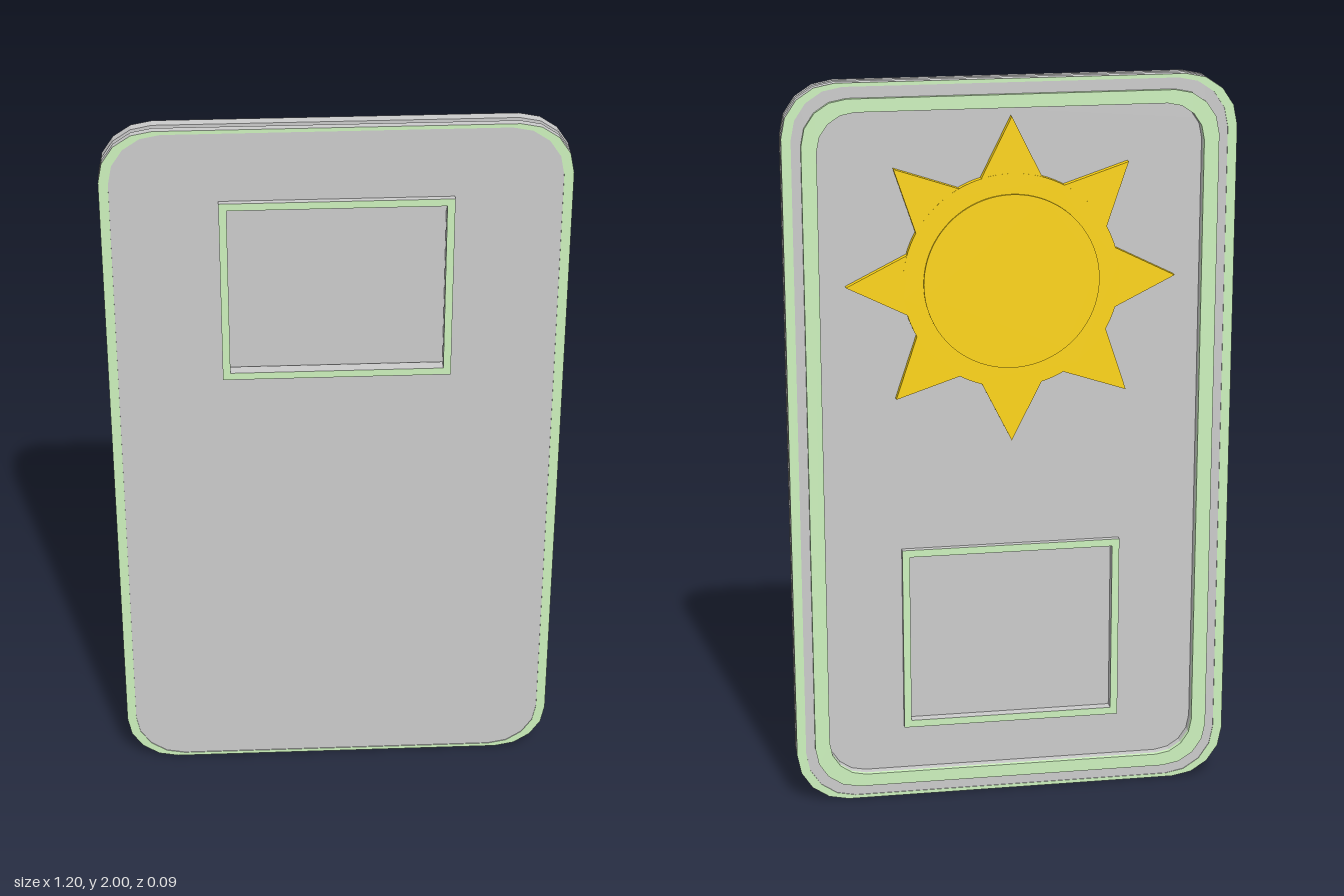
import * as THREE from 'three';

const grey = new THREE.MeshStandardMaterial({ color: 0xcccccc });
const green = new THREE.MeshStandardMaterial({ color: 0xcdf2bd });
const gold = new THREE.MeshStandardMaterial({ color: 0xffd614 });
for (const m of [grey, green, gold]) m.flatShading = true;

// Outline of a rectangle with faceted round corners (hw, hh: half sizes)
function roundedPoints(hw, hh, r, cy = 1) {
  const pts = [], n = 4;
  [[1, 1], [-1, 1], [-1, -1], [1, -1]].forEach(([sx, sy], q) => {
    for (let i = 0; i <= n; i++) {
      const a = (q + i / n) * Math.PI / 2;
      pts.push(new THREE.Vector2(sx * (hw - r) + r * Math.cos(a), cy + sy * (hh - r) + r * Math.sin(a)));
    }
  });
  return pts;
}

function rectPoints(hw, hh, cy) {
  return [[1, 1], [-1, 1], [-1, -1], [1, -1]].map(([x, y]) => new THREE.Vector2(x * hw, cy + y * hh));
}

// Flat slab from z0 to z1 with optional holes
function slab(name, points, holes, z0, z1, material) {
  const shape = new THREE.Shape(points);
  shape.holes = holes.map((h) => new THREE.Path(h));
  const geometry = new THREE.ExtrudeGeometry(shape, { depth: z1 - z0, bevelEnabled: false });
  const mesh = new THREE.Mesh(geometry, material);
  mesh.name = name;
  mesh.position.z = z0;
  return mesh;
}

export function createModel() {
  const group = new THREE.Group();
  const outer = roundedPoints(0.6, 1, 0.14);
  const border = roundedPoints(0.575, 0.99, 0.135);
  const opening = roundedPoints(0.51, 0.925, 0.1);
  const frontY = 1.54, backY = 0.46;
  const window = (y) => rectPoints(0.28, 0.24, y);
  const frameEdge = (y) => rectPoints(0.3, 0.26, y);

  // Front plate with its window and coloured border
  group.add(slab('frontPlate', outer, [window(frontY)], 0.008, 0.025, grey));
  group.add(slab('frontBorder', outer, [border], 0.025, 0.027, [green, grey]));
  group.add(slab('frontWindowFrame', frameEdge(frontY), [window(frontY)], 0.008, 0.04, [green, grey]));

  // Core with a green band showing in the groove
  group.add(slab('core', roundedPoints(0.56, 0.96, 0.12), [], -0.001, 0.003, grey));
  group.add(slab('middleBand', roundedPoints(0.583, 0.983, 0.13), [roundedPoints(0.55, 0.95, 0.12)], -0.008, 0.008, green));

  // Back tray: outer ring, raised rim and recessed panel
  group.add(slab('backRing', outer, [opening], -0.033, -0.008, grey));
  group.add(slab('backBorder', outer, [border], -0.035, -0.033, [green, grey]));
  group.add(slab('backRim', roundedPoints(0.55, 0.96, 0.12), [opening], -0.045, -0.033, green));
  group.add(slab('backPanel', roundedPoints(0.55, 0.95, 0.12), [window(backY)], -0.012, -0.001, grey));
  group.add(slab('backWindowFrame', frameEdge(backY), [window(backY)], -0.028, -0.001, [green, grey]));

  // Sun on the back panel: disc, raised face and eight rays
  const sun = new THREE.Group();
  sun.name = 'sun';
  sun.position.y = 1.46;
  const circle = (r) => new THREE.Path().absarc(0, 0, r, 0, Math.PI * 2).getPoints(48).slice(0, -1);
  sun.add(slab('sunDisc', circle(0.29), [], -0.032, -0.012, gold));
  sun.add(slab('sunFace', circle(0.235), [], -0.038, -0.03, gold));
  for (let i = 0; i < 8; i++) {
    const ray = slab('sunRay', [[0.27, -0.085], [0.44, 0], [0.27, 0.085]].map((p) => new THREE.Vector2(...p)),
      [], -0.0315, -0.012, gold);
    ray.rotation.z = i * Math.PI / 4;
    sun.add(ray);
  }
  group.add(sun);
  return group;
}
